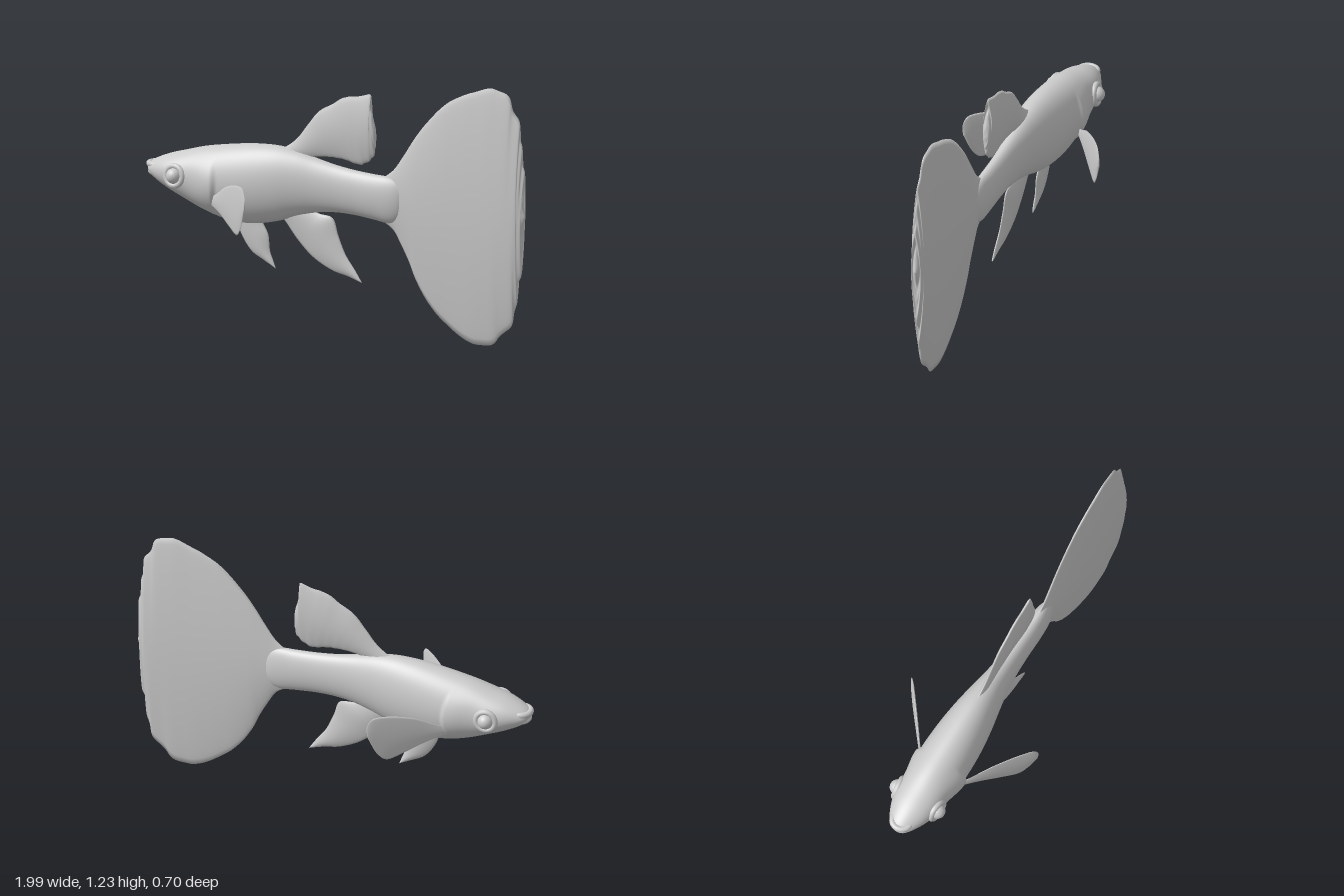
import * as THREE from 'three';

const material = new THREE.MeshStandardMaterial({ color: 0xcccccc, side: THREE.DoubleSide });

// Skin over a list of closed rings, each an array of Vector3 of equal length
function loft(rings) {
  const n = rings[0].length, index = [];
  for (let i = 0; i < rings.length - 1; i++) {
    for (let j = 0; j < n; j++) {
      const a = i * n + j, b = i * n + (j + 1) % n;
      index.push(a, b, a + n, b, b + n, a + n);
    }
  }
  const geometry = new THREE.BufferGeometry().setFromPoints(rings.flat());
  geometry.setIndex(index);
  geometry.computeVertexNormals();
  return geometry;
}

function add(parent, name, geometry) {
  const mesh = new THREE.Mesh(geometry, material);
  mesh.name = name;
  parent.add(mesh);
  return mesh;
}

const outline = pts => new THREE.CatmullRomCurve3(pts.map(([x, y]) => new THREE.Vector3(x, y, 0)), false, 'centripetal');

// Lens-section fin between an upper and a lower edge that meet at the tip.
// lean(x, y) gives the z of the fin's middle surface.
function fin(upper, lower, { thick, lean = () => 0, ripple = 0, steps = 72, across = 24 }) {
  const top = outline(upper), bottom = outline(lower), pairs = [];
  for (let i = 0; i <= steps; i++) {
    const u = i / steps, a = top.getPointAt(u), b = bottom.getPointAt(u);
    const wave = ripple * Math.sin(u * 75) * Math.min(1, u * u * 3) * Math.min(1, (1 - u) * 8);
    a.x += wave; a.y += wave * 0.7;
    b.x -= wave; b.y += wave * 0.7;
    pairs.push([a, b, a.distanceTo(b)]);
  }
  const widest = Math.max(...pairs.map(p => p[2]));
  return loft(pairs.map(([a, b, chord]) => {
    const ring = [];
    for (let j = 0; j < across * 2; j++) {
      const v = j <= across ? j / across : 2 - j / across;
      const p = a.clone().lerp(b, v);
      const half = thick * Math.sqrt(chord / widest) * Math.pow(Math.max(0, Math.sin(Math.PI * v)), 0.75);
      p.z = lean(p.x, p.y) + (j <= across ? half : -half);
      ring.push(p);
    }
    return ring;
  }));
}

// Body stations: x, top, bottom, half width
const stations = [
  [-0.985, 0.70, 0.685, 0.012], [-0.97, 0.72, 0.66, 0.046], [-0.93, 0.742, 0.63, 0.072],
  [-0.87, 0.765, 0.598, 0.098], [-0.8, 0.785, 0.565, 0.113], [-0.7, 0.812, 0.52, 0.119],
  [-0.6, 0.83, 0.486, 0.124], [-0.5, 0.844, 0.47, 0.122], [-0.4, 0.853, 0.475, 0.114],
  [-0.3, 0.853, 0.496, 0.1], [-0.2, 0.838, 0.53, 0.081], [-0.1, 0.812, 0.555, 0.064],
  [0, 0.79, 0.565, 0.054], [0.1, 0.775, 0.562, 0.05], [0.2, 0.766, 0.55, 0.048],
  [0.28, 0.76, 0.54, 0.042], [0.33, 0.74, 0.56, 0.03], [0.36, 0.70, 0.61, 0.012]
];

function bodyGeometry() {
  const uppers = new THREE.CatmullRomCurve3(stations.map(s => new THREE.Vector3(s[0], s[1], s[3])), false, 'catmullrom');
  const lowers = new THREE.CatmullRomCurve3(stations.map(s => new THREE.Vector3(s[0], s[2], 0)), false, 'catmullrom');
  const steps = 220, around = 56, rings = [];
  for (let i = 0; i <= steps; i++) {
    const t = uppers.getPoint(i / steps), b = lowers.getPoint(i / steps);
    const mid = (t.y + b.y) / 2, half = (t.y - b.y) / 2, ring = [];
    for (let j = 0; j < around; j++) {
      const angle = j / around * Math.PI * 2;
      const y = mid + half * Math.cos(angle), side = Math.sin(angle);
      // Gill cover: swells toward its curved rear edge, then drops to the flank
      const rear = -0.585 - 1.6 * (y - 0.65) ** 2;
      const swell = THREE.MathUtils.smoothstep(t.x, rear - 0.17, rear - 0.02)
        * (1 - THREE.MathUtils.smoothstep(t.x, rear - 0.012, rear + 0.012));
      const band = Math.max(0, 1 - ((y - 0.64) / 0.14) ** 2);
      ring.push(new THREE.Vector3(t.x, y, side * (t.z + 0.016 * swell * band)));
    }
    rings.push(ring);
  }
  const ends = r => r.map(() => r.reduce((s, p) => s.add(p), new THREE.Vector3()).divideScalar(r.length));
  return loft([ends(rings[0]), ...rings, ends(rings[steps])]);
}

export function createModel() {
  const fish = new THREE.Group();
  fish.name = 'fish';
  add(fish, 'body', bodyGeometry());

  // Lips: half rings around the snout
  for (const [name, x, y, r] of [['upperLip', -0.937, 0.708, 0.044], ['lowerLip', -0.93, 0.672, 0.042]]) {
    const lip = add(fish, name, new THREE.TorusGeometry(r, 0.015, 12, 32, Math.PI));
    lip.rotation.set(Math.PI / 2, 0, Math.PI / 2);
    lip.position.set(x, y, 0);
  }

  // Eyes and pectoral fins on both sides
  for (const [label, s] of [['front', 1], ['back', -1]]) {
    const eye = new THREE.Group();
    eye.name = label + 'Eye';
    eye.position.set(-0.8, 0.68, s * 0.108);
    eye.rotation.set(-s * 0.1, -s * 0.12, 0);
    fish.add(eye);
    add(eye, 'eyeball', new THREE.SphereGeometry(0.038, 32, 20)).scale.z = 1.05;
    add(eye, 'eyeSocket', new THREE.TorusGeometry(0.046, 0.014, 12, 40));

    add(fish, label + 'PectoralFin', fin(
      [[-0.63, 0.605], [-0.58, 0.613], [-0.47, 0.68], [-0.365, 0.71], [-0.32, 0.705], [-0.3, 0.67], [-0.302, 0.61]],
      [[-0.63, 0.56], [-0.59, 0.555], [-0.525, 0.535], [-0.445, 0.497], [-0.375, 0.472], [-0.34, 0.51], [-0.302, 0.61]],
      { thick: 0.011, lean: x => s * (0.125 + 0.8 * (x + 0.58)) }));
  }

  // Fins on the centre line
  add(fish, 'tailFin', fin(
    [[0.24, 0.75], [0.30, 0.795], [0.355, 0.87], [0.425, 0.975], [0.515, 1.08], [0.595, 1.15], [0.70, 1.2], [0.82, 1.235],
      [0.89, 1.22], [0.93, 1.16], [0.965, 1.08], [0.978, 0.96], [0.99, 0.85], [0.982, 0.75], [0.998, 0.64]],
    [[0.24, 0.55], [0.30, 0.51], [0.335, 0.455], [0.385, 0.36], [0.425, 0.27], [0.5, 0.16], [0.57, 0.095], [0.69, 0.018],
      [0.8, 0.006], [0.85, 0.045], [0.89, 0.075], [0.94, 0.16], [0.955, 0.29], [0.978, 0.4], [0.972, 0.51], [0.998, 0.64]],
    { thick: 0.04, ripple: 0.005, steps: 180, across: 40 }));

  add(fish, 'dorsalFin', fin(
    [[-0.3, 0.835], [-0.255, 0.86], [-0.205, 0.9], [-0.15, 0.97], [-0.09, 1.04], [-0.02, 1.08], [0.035, 1.115],
      [0.14, 1.135], [0.182, 1.147], [0.172, 1.1], [0.197, 1.025], [0.207, 0.95]],
    [[-0.2, 0.80], [-0.15, 0.812], [-0.07, 0.825], [0.035, 0.822], [0.125, 0.805], [0.175, 0.828], [0.2, 0.86], [0.207, 0.95]],
    { thick: 0.024, ripple: 0.002 }));

  add(fish, 'analFin', fin(
    [[-0.18, 0.58], [-0.09, 0.55], [-0.02, 0.535], [0.01, 0.455], [0.05, 0.365], [0.1, 0.295], [0.135, 0.24]],
    [[-0.3, 0.53], [-0.265, 0.49], [-0.205, 0.415], [-0.125, 0.34], [-0.02, 0.285], [0.06, 0.265], [0.135, 0.24]],
    { thick: 0.02 }));

  add(fish, 'pelvicFin', fin(
    [[-0.4, 0.52], [-0.385, 0.475], [-0.36, 0.425], [-0.35, 0.345], [-0.335, 0.305], [-0.32, 0.265]],
    [[-0.53, 0.52], [-0.52, 0.46], [-0.495, 0.4], [-0.445, 0.335], [-0.385, 0.3], [-0.32, 0.265]],
    { thick: 0.018 }));

  return fish;
}
